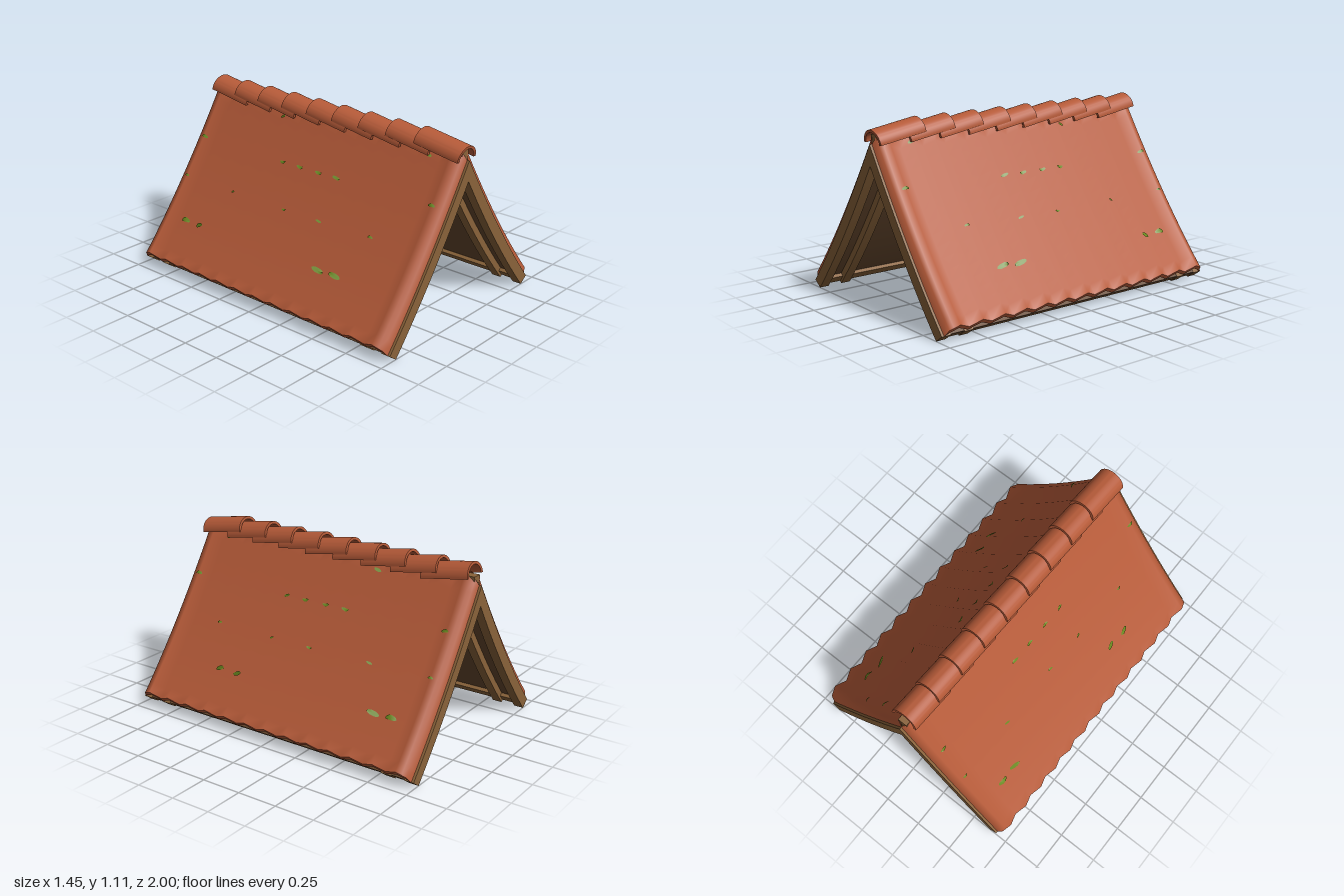
import * as THREE from 'three';
import { toCreasedNormals } from 'three/addons/utils/BufferGeometryUtils.js';

const tile = new THREE.MeshStandardMaterial({ color: 0xb55a38, side: THREE.DoubleSide });
tile.name = 'terracotta';
const wood = new THREE.MeshStandardMaterial({ color: 0x8a633a });
wood.name = 'timber';
const darkWood = new THREE.MeshStandardMaterial({ color: 0x66482e });
darkWood.name = 'dark boarding';
const green = new THREE.MeshStandardMaterial({ color: 0x6a8a20, side: THREE.DoubleSide });
green.name = 'moss';

// Slightly sagging slope line from ridge (u = 0) to eave (u = 1)
const slope = (x0, y0, x1, y1, sag) => u =>
  new THREE.Vector2(x0 + (x1 - x0) * u, y0 + (y1 - y0) * u - sag * 4 * u * (1 - u));
const under = slope(0, 0.864, 0.623, 0.008, 0.035);
const top = slope(0, 0.988, 0.677, 0.047, 0.035);
const outer = slope(0.035, 1.05, 0.724, 0.109, 0.04);

// Point between the timber top (h = 0) and the tile crest (h = 1)
const tilePoint = (u, h) => top(u).lerp(outer(u), h);
// Point inside the timber depth, f = 0 at the top and 1 underneath
const woodPoint = (u, f) => top(u).lerp(under(u), f);

// Zigzag height of the tiling along z, turned down at both ends
const pitch = 1.82 / 12;
function waveHeight(z) {
  const a = Math.abs(z);
  if (a > 0.9101) return a > 0.97 ? THREE.MathUtils.mapLinear(a, 0.97, 0.985, 0.6, 0) : THREE.MathUtils.mapLinear(a, 0.91, 0.97, 1, 0.6);
  const t = (z + 0.91) / pitch;
  const f = t - Math.floor(t + 1e-6);
  return 0.5 + 0.5 * Math.abs(2 * f - 1);
}
const zs = [-0.985, -0.97, -0.945];
for (let i = 0; i <= 24; i++) zs.push(-0.91 + i * pitch / 2);
zs.push(0.945, 0.97, 0.985);

// Grid over z and a second parameter v, facing outward on side s
function sheet(s, rows, point) {
  const n = zs.length - 1;
  const g = new THREE.PlaneGeometry(1, 1, n, rows);
  const p = g.attributes.position;
  for (let i = 0; i < p.count; i++) {
    const z = -s * zs[Math.round((p.getX(i) + 0.5) * n)];
    const q = point(0.5 - p.getY(i), z);
    p.setXYZ(i, s * q.x, q.y, z);
  }
  g.computeVertexNormals();
  return g;
}

// Both slopes' timber section as one shape, extruded along z
function chevron(u0, u1, f0, f1, z0, z1) {
  const upper = [], lower = [];
  for (let i = 0; i <= 14; i++) {
    const u = u0 + (u1 - u0) * i / 14;
    upper.push(woodPoint(u, f0));
    lower.push(woodPoint(u, f1));
  }
  const flip = v => new THREE.Vector2(-v.x, v.y);
  const solid = pts => new THREE.ExtrudeGeometry(new THREE.Shape(pts), { depth: z1 - z0, bevelEnabled: false }).translate(0, 0, z0);
  if (u0 > 0) {
    const pts = [...upper, ...lower.reverse()];
    return [solid(pts), solid(pts.map(flip))];
  }
  return [solid([...upper.slice(1).reverse().map(flip), ...upper,
    ...lower.slice(1).reverse(), ...lower.map(flip)])];
}

export function createModel() {
  const model = new THREE.Group();
  const add = (name, geometry, material, parent = model) => {
    const m = new THREE.Mesh(geometry, material);
    m.name = name;
    parent.add(m);
    return m;
  };

  // Paired rafters at both gables
  for (const [a, b] of [[0.94, 1], [0.79, 0.85], [-0.85, -0.79], [-1, -0.94]])
    chevron(0, 1, 0, 1, a, b).forEach(g => add('rafter', toCreasedNormals(g, 0.4), wood));

  // Boarding between the rafters and the eave beams
  chevron(0, 0.995, 0.02, 0.4, -0.95, 0.95).forEach(g => add('roofBoarding', toCreasedNormals(g, 0.4), darkWood));
  chevron(0.945, 0.995, 0.38, 0.75, -0.95, 0.95).forEach(g => add('eaveBeam', g, wood));

  // Ridge beam under the caps
  add('ridgeBeam', new THREE.BoxGeometry(0.06, 0.08, 1.94).translate(0, 1.0, 0), wood);

  // Corrugated tiling with a thick eave edge
  const lowerH = z => Math.max(0, waveHeight(z) - 0.35);
  for (const s of [1, -1]) {
    const side = new THREE.Group();
    side.name = s > 0 ? 'leftTiling' : 'rightTiling';
    model.add(side);
    add('tileSurface', sheet(s, 16, (v, z) => tilePoint(v, waveHeight(z))), tile, side);
    add('tileUnderside', sheet(s, 16, (v, z) => tilePoint(v, lowerH(z))), tile, side);
    add('tileEaveEdge', sheet(s, 1, (v, z) =>
      tilePoint(1, waveHeight(z) + (lowerH(z) - waveHeight(z)) * v)), tile, side);

    // Moss patches: slope position, half length in u, half width in z, places along z
    const rows = [
      [0.055, 0.008, 0.022, [0.77, -0.35]],
      [0.27, 0.008, 0.024, [0.91, 0.21, 0.07, -0.08, -0.22, -0.9]],
      [0.5, 0.006, 0.018, [0.61, 0.21, -0.07, -0.5, -0.91]],
      [0.74, 0.014, 0.036, [0.48, 0.35, -0.64, -0.76]],
    ];
    for (const [u, du, dz, places] of rows) for (const zc of places) {
      const g = new THREE.CircleGeometry(1, 10);
      const p = g.attributes.position;
      for (let i = 0; i < p.count; i++) {
        const z = zc - s * p.getX(i) * dz;
        const q = tilePoint(u - p.getY(i) * du, waveHeight(z) + 0.09);
        p.setXYZ(i, s * q.x, q.y, z);
      }
      g.computeVertexNormals();
      add('mossPatch', g, green, side);
    }
  }

  // Overlapping half-round ridge caps, each tilted down to the front
  const arch = new THREE.Shape();
  arch.absarc(0, 0, 0.088, 0, Math.PI, false);
  arch.absarc(0, 0, 0.07, Math.PI, 0, true);
  const capGeometry = toCreasedNormals(
    new THREE.ExtrudeGeometry(arch, { depth: 0.308, bevelEnabled: false, curveSegments: 14 }).scale(1, 0.93, 1), 0.6);
  for (let k = 0; k < 9; k++) {
    const cap = add('ridgeCap', capGeometry, tile);
    cap.position.set(0, 1.038, 0.675 - k * 0.204);
    cap.rotation.x = 0.163;
  }
  return model;
}
